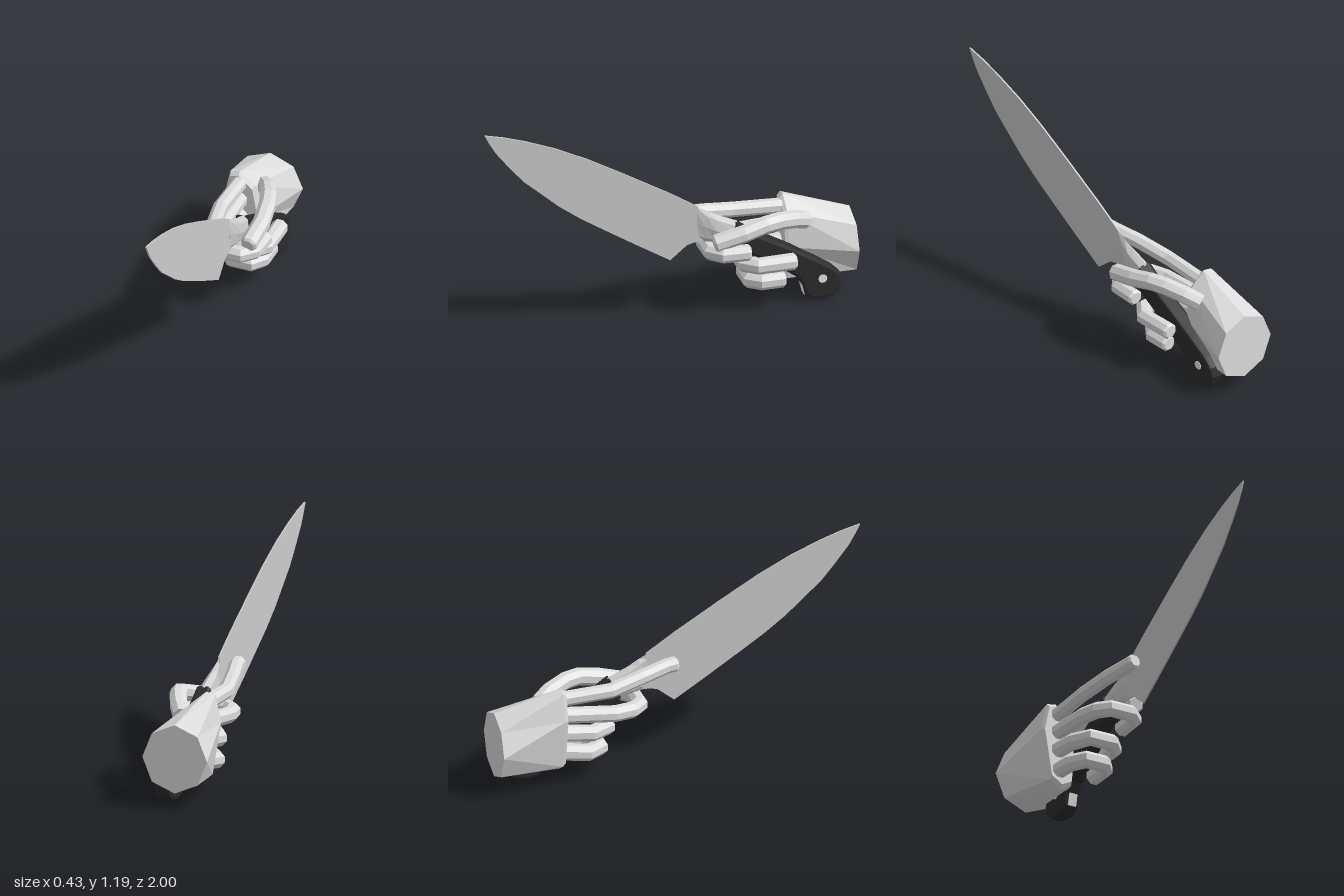
import * as THREE from 'three';

const V = (x, y, z) => new THREE.Vector3(x, y, z);

function mat(name, color) {
  const m = new THREE.MeshStandardMaterial({ color });
  m.name = name;
  m.flatShading = true;
  return m;
}

// Skin a list of equal-length rings (counter-clockwise about the travel direction), capped at both ends
function loft(rings) {
  const pos = [];
  const tri = (...ps) => ps.forEach((p) => pos.push(p.x, p.y, p.z));
  const n = rings[0].length;
  for (let i = 0; i < rings.length - 1; i++) {
    const a = rings[i], b = rings[i + 1];
    for (let k = 0; k < n; k++) {
      const j = (k + 1) % n;
      tri(a[k], a[j], b[j]);
      tri(a[k], b[j], b[k]);
    }
  }
  const first = rings[0], last = rings[rings.length - 1];
  for (let k = 1; k < n - 1; k++) {
    tri(first[0], first[k + 1], first[k]);
    tri(last[0], last[k], last[k + 1]);
  }
  const g = new THREE.BufferGeometry();
  g.setAttribute('position', new THREE.Float32BufferAttribute(pos, 3));
  g.computeVertexNormals();
  return g;
}

// Eight-sided ring spanned by two half-axis vectors
function ring(c, side, up, offset = Math.PI / 8) {
  return Array.from({ length: 8 }, (_, k) => {
    const a = offset + (k * Math.PI) / 4;
    return c.clone().addScaledVector(side, Math.cos(a)).addScaledVector(up, Math.sin(a));
  });
}

// Octagonal finger along a polyline, with a chamfered tip
function finger(points, r) {
  const pts = points.map((p) => V(...p));
  const end = pts[pts.length - 1];
  const dir = end.clone().sub(pts[pts.length - 2]).normalize();
  pts.push(end.clone().addScaledVector(dir, 0.012));
  return loft(pts.map((p, i) => {
    const t = V(0, 0, 0);
    if (i > 0) t.add(p.clone().sub(pts[i - 1]).normalize());
    if (i < pts.length - 1) t.add(pts[i + 1].clone().sub(p).normalize());
    t.normalize();
    const side = V(0, 1, 0).cross(t).normalize();
    const up = t.clone().cross(side);
    const s = i === pts.length - 1 ? r * 0.8 : r * 1.06;
    return ring(p, side.multiplyScalar(s), up.multiplyScalar(s));
  }));
}

// Side profile given as [z, y], extruded across x
function profile(points, depth, bevel) {
  const shape = new THREE.Shape(points.map(([z, y]) => new THREE.Vector2(z, y)));
  const g = new THREE.ExtrudeGeometry(shape, {
    depth: depth - 2 * bevel, bevelEnabled: bevel > 0, bevelThickness: bevel,
    bevelSize: bevel, bevelOffset: -bevel, bevelSegments: 2,
  });
  g.translate(0, 0, -(depth - 2 * bevel) / 2);
  g.rotateY(-Math.PI / 2);
  return g;
}

export function createModel() {
  const group = new THREE.Group();
  const hand = mat('hand grey', 0xdcdcdc);
  const steel = mat('blade steel', 0xcccccc);
  const black = mat('handle black', 0x2c2c2c);
  const white = mat('rivet white', 0xf0f0f0);
  const add = (name, geometry, material, x = 0, y = 0, z = 0) => {
    const m = new THREE.Mesh(geometry, material);
    m.name = name;
    m.position.set(x, y, z);
    group.add(m);
    return m;
  };
  const KX = 0.068; // plane of the knife

  // Palm and wrist: round at the back, tall and narrow at the knuckles
  const knuckles = [[0.04, 0.3], [0.01, 0.48], [-0.07, 0.55], [-0.12, 0.54],
    [-0.15, 0.4], [-0.105, 0.13], [-0.04, 0.09], [0.02, 0.12]];
  const knuckleRing = (z, s) => knuckles.map(([x, y]) =>
    V(-0.055 + (x + 0.055) * s, 0.325 + (y - 0.325) * s, z));
  add('palm', loft([
    ring(V(-0.04, 0.27, -1), V(0.18, 0, 0), V(0, 0.18, 0), 0),
    knuckleRing(-0.65, 1.03),
    knuckleRing(-0.632, 0.94),
  ]), hand);

  // Fingers
  add('indexFinger', finger([[-0.065, 0.49, -0.68], [-0.07, 0.505, -0.38],
    [-0.03, 0.54, -0.2], [0.01, 0.562, -0.06], [0.016, 0.566, -0.01]], 0.038), hand);
  add('middleFinger', finger([[-0.06, 0.4, -0.68], [-0.078, 0.375, -0.36], [-0.055, 0.372, -0.26],
    [-0.005, 0.372, -0.205], [0.11, 0.372, -0.205], [0.165, 0.372, -0.26], [0.172, 0.372, -0.39]], 0.041), hand);
  add('ringFinger', finger([[-0.06, 0.3, -0.68], [-0.07, 0.277, -0.48], [-0.02, 0.277, -0.385],
    [0.105, 0.277, -0.385], [0.158, 0.277, -0.45], [0.158, 0.277, -0.64]], 0.042), hand);
  add('littleFinger', finger([[-0.05, 0.19, -0.68], [-0.066, 0.167, -0.5], [-0.02, 0.167, -0.425],
    [0.08, 0.167, -0.425], [0.122, 0.167, -0.48], [0.122, 0.167, -0.59]], 0.043), hand);
  add('thumb', finger([[0.03, 0.44, -0.74], [0.075, 0.475, -0.67], [0.12, 0.5, -0.57], [0.145, 0.502, -0.49],
    [0.16, 0.476, -0.375], [0.15, 0.437, -0.222]], 0.044), hand);

  // Blade
  add('blade', profile([[1, 1.2], [0.9, 1.175], [0.78, 1.135], [0.62, 1.07], [0.45, 0.985],
    [0.25, 0.87], [0, 0.72], [-0.15, 0.622], [-0.18, 0.42], [-0.13, 0.42], [-0.09, 0.41],
    [0.0, 0.337], [0.18, 0.45], [0.35, 0.56], [0.48, 0.645], [0.6, 0.735], [0.7, 0.825],
    [0.79, 0.905], [0.87, 1.0], [0.94, 1.09], [0.975, 1.15]], 0.009, 0), steel, KX);

  // Bolster swelling from the blade into the handle: [top z, top y, bottom z, bottom y, half width]
  const bolster = [[-0.36, 0.51, -0.29, 0.395, 0.041], [-0.25, 0.56, -0.23, 0.405, 0.037],
    [-0.19, 0.595, -0.185, 0.415, 0.02], [-0.14, 0.62, -0.15, 0.42, 0.005]];
  add('bolster', loft(bolster.map(([tz, ty, bz, by, w]) =>
    ring(V(KX, (ty + by) / 2, (tz + bz) / 2), V(w, 0, 0),
      V(0, (ty - by) / 2, (tz - bz) / 2), 0))), steel);

  // Handle with its drooping butt
  add('handle', profile([[-0.35, 0.51], [-0.45, 0.44], [-0.6, 0.355], [-0.76, 0.26], [-0.86, 0.195],
    [-0.905, 0.15], [-0.922, 0.1], [-0.905, 0.05], [-0.87, 0.02], [-0.8, 0.008], [-0.745, 0.018],
    [-0.718, 0.045], [-0.705, 0.1], [-0.67, 0.155], [-0.58, 0.22], [-0.44, 0.31], [-0.29, 0.4]],
  0.086, 0.018), black, KX);

  // Pale strip on the front of the butt
  const strip = add('buttStrip', new THREE.BoxGeometry(0.048, 0.066, 0.006), white, KX, 0.074, -0.711);
  strip.rotation.x = 0.23;

  // Rivet through the handle
  const rivet = new THREE.CylinderGeometry(0.024, 0.024, 0.092, 10);
  rivet.rotateZ(Math.PI / 2);
  add('rivet', rivet, white, KX, 0.13, -0.81);

  return group;
}
